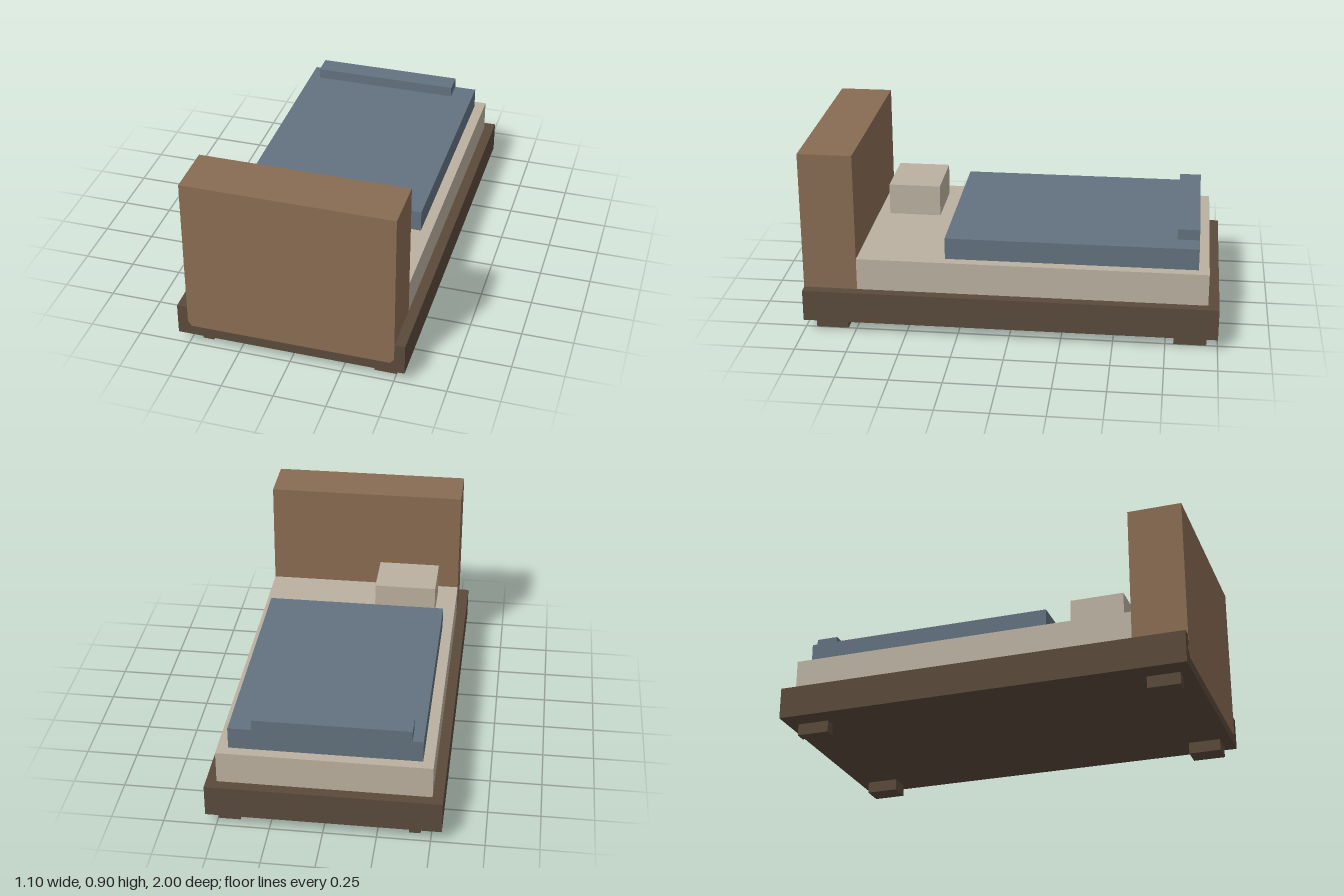
import * as THREE from 'three';

const material = (name, color) => {
  const m = new THREE.MeshStandardMaterial({ color });
  m.name = name;
  return m;
};

export function createModel() {
  const bed = new THREE.Group();
  bed.name = 'bed';

  const darkWood = material('dark wood', 0x5a4a3b);
  const wood = material('brown wood', 0x896c53);
  const linen = material('cream linen', 0xbbb1a0);
  const blue = material('slate blue cloth', 0x62727f);

  // Box given by its extent along each axis
  const block = (name, mat, [x0, x1], [y0, y1], [z0, z1]) => {
    const mesh = new THREE.Mesh(new THREE.BoxGeometry(x1 - x0, y1 - y0, z1 - z0), mat);
    mesh.position.set((x0 + x1) / 2, (y0 + y1) / 2, (z0 + z1) / 2);
    mesh.name = name;
    bed.add(mesh);
  };

  // Base frame
  block('frame', darkWood, [-0.55, 0.55], [0.057, 0.212], [-1, 1]);

  // Feet: the left pair is wider than the right pair
  for (const [end, z] of [['front', [0.79, 0.947]], ['back', [-0.947, -0.79]]]) {
    block(end + 'LeftFoot', darkWood, [0.395, 0.5], [0, 0.057], z);
    block(end + 'RightFoot', darkWood, [-0.45, -0.396], [0, 0.057], z);
  }

  // Headboard slab with clipped lower corners, just proud of the frame
  const outline = new THREE.Shape([
    [-0.5, 0.897], [-0.5, 0.128], [-0.48, 0.106],
    [0.48, 0.106], [0.5, 0.128], [0.5, 0.897],
  ].map(([x, y]) => new THREE.Vector2(x, y)));
  const headboard = new THREE.Mesh(
    new THREE.ExtrudeGeometry(outline, { depth: 0.261, bevelEnabled: false }), wood);
  headboard.position.z = 0.74;
  headboard.name = 'headboard';
  bed.add(headboard);

  // Bedding
  block('mattress', linen, [-0.5, 0.5], [0.212, 0.37], [-0.947, 0.74]);
  block('pillow', linen, [-0.398, -0.085], [0.37, 0.528], [0.422, 0.682]);
  block('blanket', blue, [-0.449, 0.449], [0.37, 0.476], [-0.896, 0.316]);
  block('blanketFold', blue, [-0.398, 0.338], [0.476, 0.528], [-0.896, -0.79]);

  return bed;
}
